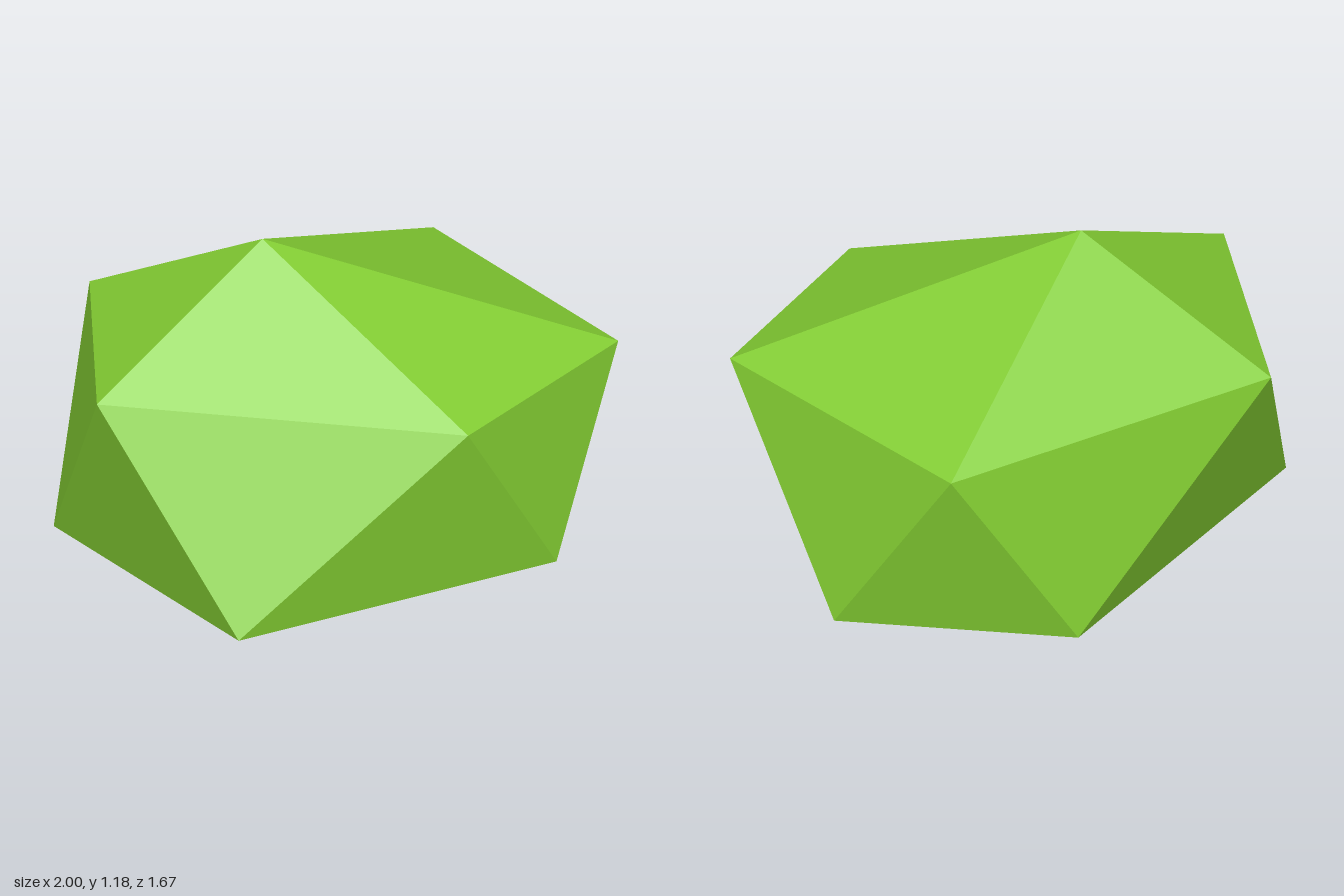
import * as THREE from 'three';

export function createModel() {
  const group = new THREE.Group();
  group.name = 'bush';

  const leafGreen = new THREE.MeshStandardMaterial({ color: 0x82cc32 });
  leafGreen.name = 'leafGreen';
  leafGreen.side = THREE.DoubleSide; // the shell is open underneath
  leafGreen.flatShading = true;

  // Peak and two staggered rings of five, running counter-clockwise from above
  const peak = [-0.26, 1.18, -0.02];
  const upper = [
    [-0.86, 0.76, 0.41], [0.45, 0.73, 0.62], [1, 0.765, 0.02],
    [0.37, 0.75, -0.835], [-0.86, 0.765, -0.46],
  ];
  const lower = [
    [-0.37, 0.03, 0.835], [0.77, 0.08, 0.39], [0.74, 0, -0.57],
    [-0.09, 0, -0.835], [-1, 0.02, -0.02],
  ];

  // Crown fan, then a zigzag band of side facets
  const corners = [];
  for (let i = 0; i < 5; i++) {
    const next = (i + 1) % 5;
    corners.push(peak, upper[i], upper[next]);
    corners.push(upper[i], lower[i], upper[next]);
    corners.push(lower[i], lower[next], upper[next]);
  }

  const geometry = new THREE.BufferGeometry();
  geometry.setAttribute('position', new THREE.Float32BufferAttribute(corners.flat(), 3));
  geometry.computeVertexNormals();

  const foliage = new THREE.Mesh(geometry, leafGreen);
  foliage.name = 'foliage';
  group.add(foliage);
  return group;
}
